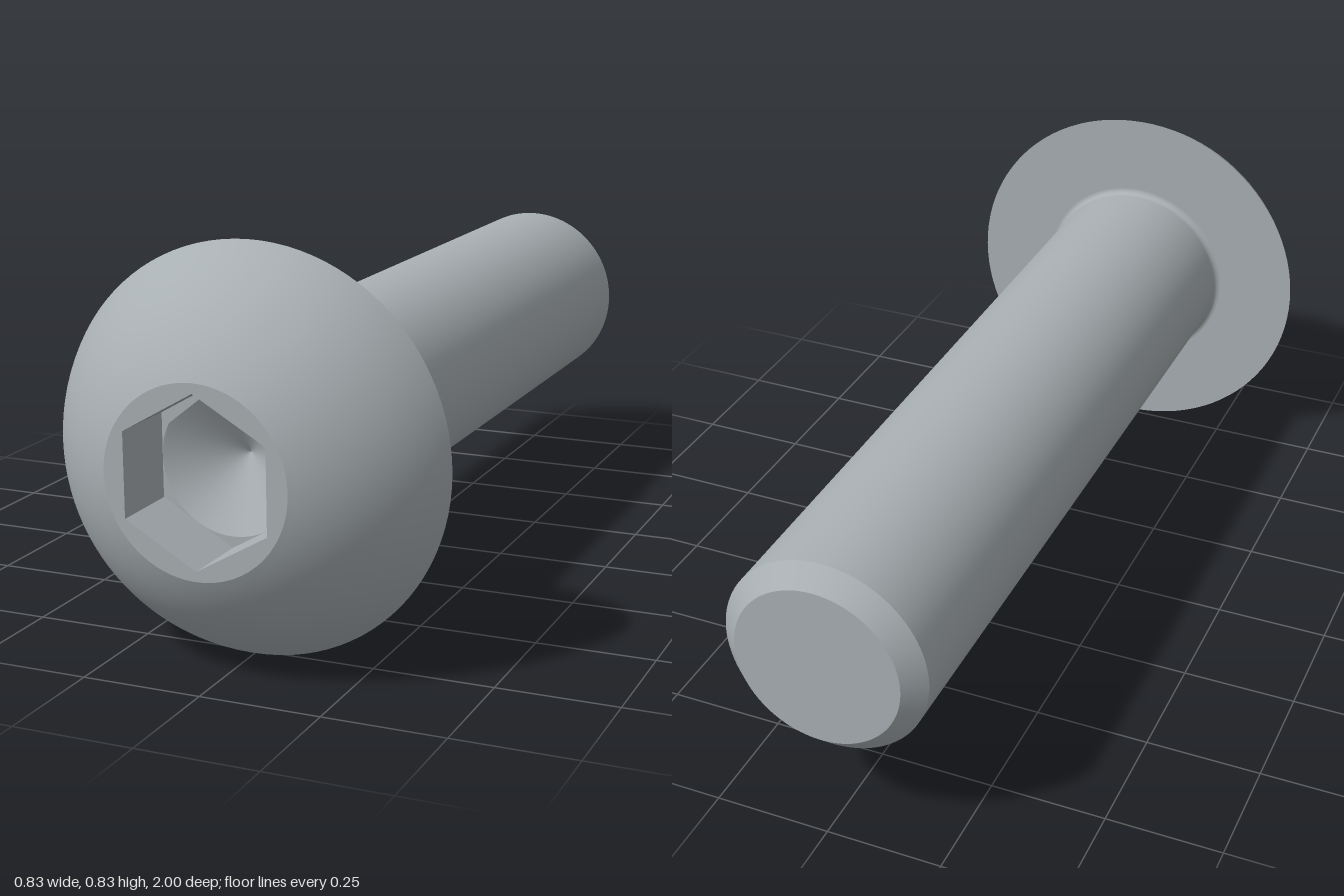
import * as THREE from 'three';

export function createModel() {
  const model = new THREE.Group();
  model.name = 'buttonHeadBolt';
  const steel = new THREE.MeshStandardMaterial({ color: 0xa8afb2 });
  steel.name = 'steel';

  // Everything is built along the z axis, then raised by the head radius
  const bolt = new THREE.Group();
  bolt.name = 'bolt';
  bolt.position.y = 0.417;
  model.add(bolt);

  const add = (name, geometry) => {
    const mesh = new THREE.Mesh(geometry, steel);
    mesh.name = name;
    bolt.add(mesh);
  };
  // Revolves [radius, z] points around z; one call per smooth surface
  const turn = (name, points, sides = 96) => {
    let g = new THREE.LatheGeometry(points.map(p => new THREE.Vector2(...p)), sides);
    g.rotateX(Math.PI / 2);
    if (sides === 6) {
      g = g.toNonIndexed();
      g.computeVertexNormals();
    }
    add(name, g);
  };

  const headR = 0.417, rimR = 0.19, underZ = 0.763;
  const shankR = 0.218, tipR = 0.177, chamferZ = -0.96, fillet = 0.014;
  const hexR = 0.17, drillR = hexR * Math.cos(Math.PI / 6), floorZ = 0.85;

  // Shank with chamfered tip
  turn('tipFace', [[0, -1], [tipR, -1]]);
  turn('tipChamfer', [[tipR, -1], [shankR, chamferZ]]);
  turn('shank', [[shankR, chamferZ], [shankR, underZ - fillet]]);

  // Small fillet flaring into the head
  const flare = [];
  for (let i = 0; i <= 6; i++) {
    const a = (i / 6) * Math.PI / 2;
    flare.push([shankR + fillet * (1 - Math.cos(a)), underZ - fillet * (1 - Math.sin(a))]);
  }
  turn('neckFillet', flare);
  turn('headUnderside', [[shankR + fillet, underZ], [headR, underZ]]);

  // Spherical dome between the head edge and the flat front
  const c = (1 + rimR ** 2 - headR ** 2 - underZ ** 2) / (2 * (1 - underZ));
  const R = Math.hypot(headR, underZ - c);
  const a0 = Math.atan2(underZ - c, headR), a1 = Math.atan2(1 - c, rimR);
  const dome = [];
  for (let i = 0; i <= 24; i++) {
    const a = a0 + (a1 - a0) * i / 24;
    dome.push([R * Math.cos(a), c + R * Math.sin(a)]);
  }
  turn('headDome', dome);

  // Flat front ring with a hexagonal opening
  const hexPoints = [];
  for (let i = 0; i < 6; i++) {
    const a = i * Math.PI / 3;
    hexPoints.push(new THREE.Vector2(hexR * Math.sin(a), hexR * Math.cos(a)));
  }
  const front = new THREE.Shape().absarc(0, 0, rimR, 0, Math.PI * 2);
  front.holes.push(new THREE.Path(hexPoints));
  add('headFrontRing', new THREE.ShapeGeometry(front, 48).translate(0, 0, 1));

  // Hex socket: inward walls, corner floor and conical drill point
  turn('socketWalls', [[hexR, 1], [hexR, floorZ]], 6);
  const floor = new THREE.Shape(hexPoints);
  floor.holes.push(new THREE.Path().absarc(0, 0, drillR * 0.998, 0, Math.PI * 2));
  add('socketFloor', new THREE.ShapeGeometry(floor, 48).translate(0, 0, floorZ));
  turn('socketCone', [[drillR, floorZ], [0, floorZ - drillR * Math.tan(Math.PI / 6)]]);

  return model;
}
